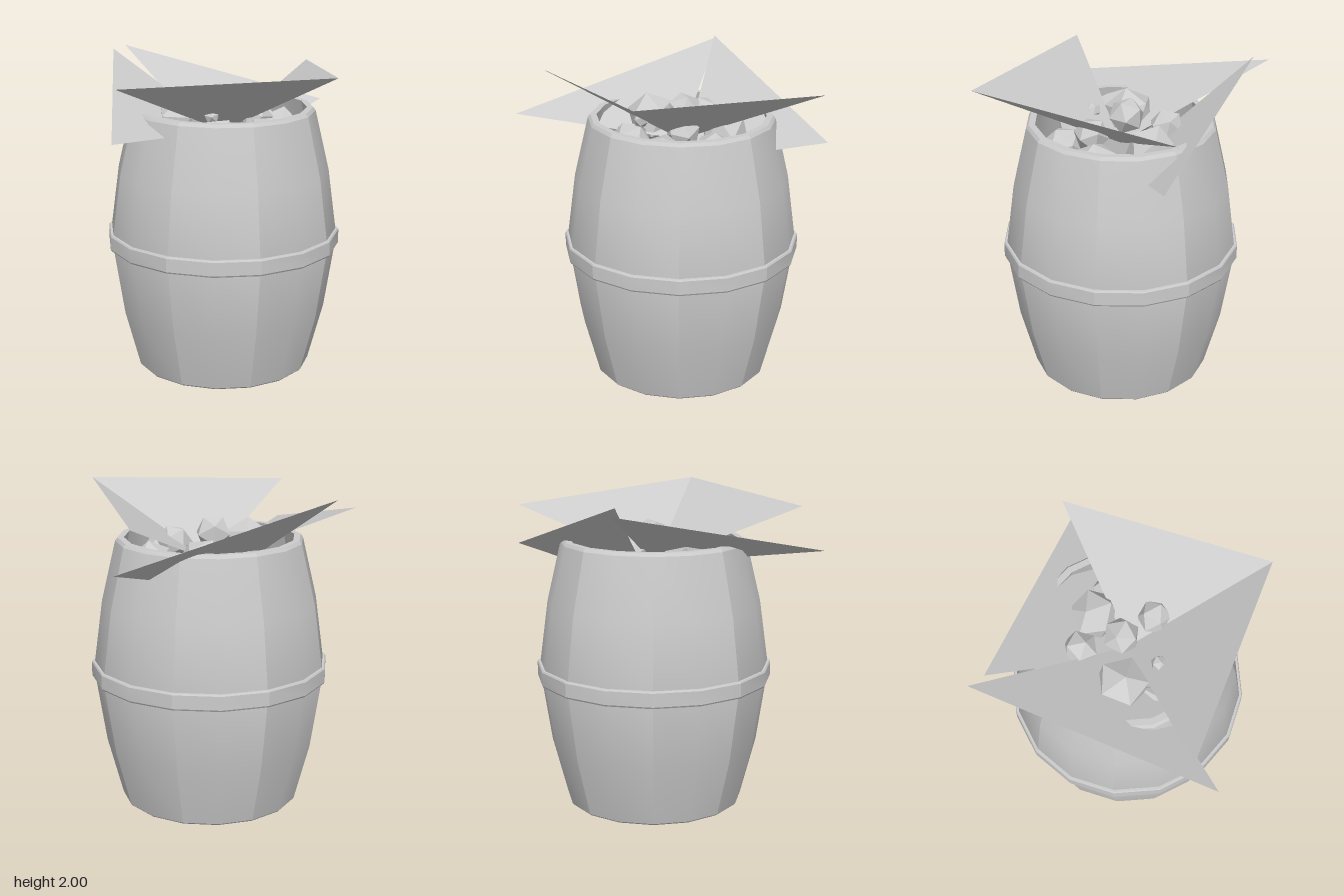
import * as THREE from 'three';
import { mergeGeometries } from 'three/addons/utils/BufferGeometryUtils.js';

const SECTORS = 8; // each sector is two facets, smooth inside, sharp at its sides

// Turned surface; every profile in the list is smooth along its own length
function turned(profiles) {
  const parts = [];
  for (const profile of profiles) {
    const points = profile.map(([r, y]) => new THREE.Vector2(r, y));
    for (let i = 0; i < SECTORS; i++) {
      const step = (Math.PI * 2) / SECTORS;
      const g = new THREE.LatheGeometry(points, 2, (i - 0.5) * step, step);
      g.computeVertexNormals();
      parts.push(g);
    }
  }
  return mergeGeometries(parts);
}

// Splits a polyline into separate straight strips
const strips = (pts) => pts.slice(1).map((p, i) => [pts[i], p]);

export function createModel() {
  const grey = new THREE.MeshStandardMaterial({ color: 0xcccccc });
  grey.name = 'grey';
  const greySheet = grey.clone();
  greySheet.side = THREE.DoubleSide;
  greySheet.name = 'grey two-sided';

  const model = new THREE.Group();
  const add = (name, geometry, material, parent) => {
    const mesh = new THREE.Mesh(geometry, material);
    mesh.name = name;
    parent.add(mesh);
    return mesh;
  };

  const barrel = new THREE.Group();
  barrel.name = 'barrel';
  barrel.position.set(0.02, 0, -0.085);
  model.add(barrel);

  // Bulging outer wall
  add('staves', turned([[
    [0.565, 0.01], [0.662, 0.38], [0.735, 0.86], [0.675, 1.3], [0.585, 1.68],
  ]]), grey, barrel);

  // Top rim and hollow inside
  add('rimAndInside', turned(strips([
    [0.585, 1.68], [0.57, 1.7], [0.53, 1.7], [0.61, 1.3], [0.66, 0.86], [0.6, 0.38], [0.52, 0.07], [0, 0.07],
  ])), grey, barrel);

  // Recessed bottom
  add('bottom', turned(strips([
    [0, 0.06], [0.51, 0.06], [0.52, 0], [0.555, 0], [0.565, 0.01],
  ])), grey, barrel);

  // Hoop around the middle
  add('hoop', turned(strips([
    [0.72, 0.805], [0.742, 0.805], [0.748, 0.815], [0.748, 0.9], [0.742, 0.91], [0.72, 0.91],
  ])), grey, barrel);

  // Triangular sheets fanning out from the middle of the opening
  const apex = [0.02, 1.54, -0.08];
  const sheets = {
    frontSheet: [apex, [-0.54, 1.93, 0.66], [0.735, 1.985, 0.485]],
    leftSheet: [apex, [0.735, 1.985, 0.485], [0.53, 1.885, -0.81]],
    backSheet: [[0.02, 1.38, -0.09], [0.63, 1.62, -0.79], [-0.68, 2.0, -0.6]],
    rightSheet: [apex, [-0.77, 1.965, -0.66], [-0.54, 1.645, 0.83]],
  };
  for (const [name, corners] of Object.entries(sheets)) {
    const g = new THREE.BufferGeometry();
    g.setAttribute('position', new THREE.Float32BufferAttribute(corners.flat(), 3));
    g.computeVertexNormals();
    add(name, g, greySheet, model);
  }

  // Faceted lumps in the opening: x, y, z, radius
  const lumps = new THREE.Group();
  lumps.name = 'lumps';
  model.add(lumps);
  [
    [0, 1.72, -0.11, 0.115],
    [-0.16, 1.64, -0.3, 0.11],
    [0.09, 1.58, -0.35, 0.16],
    [0.23, 1.65, -0.01, 0.11],
    [-0.23, 1.62, 0.02, 0.17],
    [-0.03, 1.68, 0.16, 0.05],
    [0.02, 1.55, 0.25, 0.14],
    [0.3, 1.55, 0.15, 0.14],
    [0.38, 1.55, -0.15, 0.14],
    [-0.36, 1.5, -0.2, 0.13],
    [-0.2, 1.52, 0.2, 0.1],
    [0.3, 1.5, -0.36, 0.12],
  ].forEach(([x, y, z, r], i) => {
    const lump = add('lump', new THREE.IcosahedronGeometry(r), grey, lumps);
    lump.position.set(x, y, z);
    lump.rotation.set(i * 1.3, i * 2.1, i * 0.7);
  });

  return model;
}
